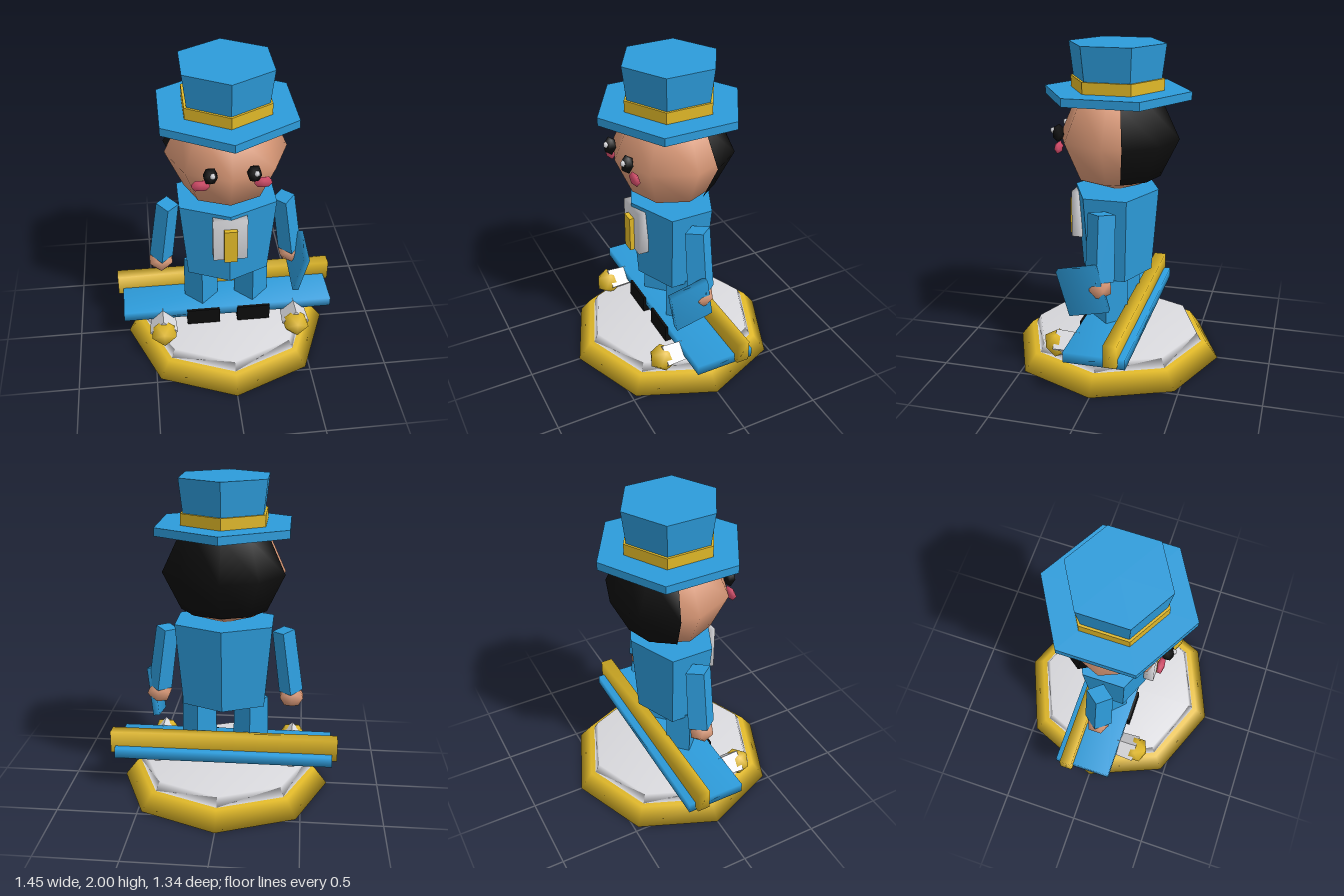
import * as THREE from 'three';
import { mergeVertices } from 'three/addons/utils/BufferGeometryUtils.js';

const mat = (name, color, extra = {}) => {
  const m = new THREE.MeshStandardMaterial({ color, ...extra });
  m.name = name;
  return m;
};

// Weld corners and share normals for soft shading
function soft(geo) {
  geo.deleteAttribute('uv');
  geo.deleteAttribute('normal');
  const g = mergeVertices(geo, 1e-4);
  g.computeVertexNormals();
  return g;
}

// Split faces for hard shading
function hard(geo) {
  const g = geo.toNonIndexed();
  g.computeVertexNormals();
  return g;
}

const box = (w, h, d) => new THREE.BoxGeometry(w, h, d);
const prism = (rTop, rBottom, h, sides) => new THREE.CylinderGeometry(rTop, rBottom, h, sides);

export function createModel() {
  const model = new THREE.Group();
  model.name = 'hoverboardFigure';

  const blue = mat('blue', 0x2d9cdb);
  const gold = mat('gold', 0xe0b828);
  const white = mat('paleGrey', 0xdadade);
  const skin = mat('skin', 0xdc9a78);
  const black = mat('black', 0x0c0c0c, { side: THREE.DoubleSide });
  const pink = mat('pink', 0xd24a68);

  function add(name, geo, material, x, y, z, parent = model) {
    const mesh = new THREE.Mesh(geo, material);
    mesh.name = name;
    mesh.position.set(x, y, z);
    parent.add(mesh);
    return mesh;
  }

  // Stand
  add('standBase', soft(prism(0.59, 0.67, 0.105, 8)), gold, 0, 0.0525, 0);
  add('standTop', soft(prism(0.53, 0.56, 0.055, 8)), white, 0, 0.1325, 0);

  // Board and rear rail
  add('board', soft(box(1.38, 0.065, 0.375)), blue, 0, 0.2625, -0.035);
  add('rearRail', soft(box(1.445, 0.14, 0.08)), gold, 0, 0.32, -0.14);

  // Coat, shirt and tie
  const coat = add('coat', hard(prism(0.265, 0.225, 0.53, 6)), blue, 0, 0.845, 0);
  coat.scale.x = 1.305;
  add('shirt', soft(box(0.21, 0.295, 0.065)), white, 0, 0.9375, 0.234);
  add('tie', box(0.08, 0.23, 0.05), gold, 0, 0.905, 0.27);

  // Head
  const head = add('head', soft(new THREE.SphereGeometry(1, 8, 4)), skin, 0, 1.43, 0);
  head.scale.set(0.37, 0.34, 0.36);

  // Hair wraps the back of the head: phi is measured so that 3/2 PI faces -z
  const side = THREE.MathUtils.degToRad(18);
  const hairGeo = new THREE.SphereGeometry(1, 4, 2, Math.PI + side, Math.PI - 2 * side, Math.PI / 4, Math.PI / 2);
  const hair = add('hair', hairGeo, black, 0, 1.435, 0);
  hair.scale.set(0.39, 0.335, 0.388);

  // Hat
  add('hatBrim', hard(prism(0.455, 0.455, 0.05, 6)), blue, 0, 1.7, 0);
  add('hatBand', hard(prism(0.29, 0.29, 0.07, 6)), gold, 0, 1.76, 0);
  add('hatCrown', hard(prism(0.3, 0.265, 0.275, 6)), blue, 0, 1.8625, 0);

  // Faceted bead with given half sizes
  function bead(name, material, hx, hy, hz, x, y, z) {
    const mesh = add(name, soft(new THREE.IcosahedronGeometry(1 / 0.8507, 0)), material, x, y, z);
    mesh.scale.set(hx, hy, hz);
    return mesh;
  }

  // Paired parts
  for (const s of [1, -1]) {
    const label = s > 0 ? 'left' : 'right';

    // Leg and shoe
    add(label + 'Leg', hard(prism(0.11, 0.112, 0.32, 4)), blue, s * 0.167, 0.44, 0);
    add(label + 'Shoe', box(0.215, 0.115, 0.25), black, s * 0.167, 0.2325, 0.045);

    // Arm and hand
    const arm = add(label + 'Arm', hard(prism(0.07, 0.075, 0.405, 4)), blue, s * 0.393, 0.85, 0);
    arm.scale.z = 1.2;
    arm.rotation.z = s * 0.137;
    bead(label + 'Hand', skin, 0.073, 0.068, 0.07, s * 0.425, 0.613, 0);

    // Thruster pod and nose
    const pod = add(label + 'Pod', hard(prism(0.09, 0.07, 0.37, 4)), white, s * 0.435, 0.213, 0.085);
    pod.rotation.x = Math.PI / 2;
    bead(label + 'PodNose', gold, 0.078, 0.072, 0.077, s * 0.435, 0.21, 0.268);

    // Eye, glint and cheek
    bead(label + 'Eye', black, 0.04, 0.05, 0.034, s * 0.125, 1.46, 0.335);
    bead(label + 'EyeGlint', white, 0.016, 0.018, 0.015, s * 0.125 + 0.01, 1.477, 0.365);
    bead(label + 'Cheek', pink, 0.052, 0.034, 0.021, s * 0.18, 1.385, 0.315);
  }

  // Panel held beside the left hand
  const panel = add('handPanel', soft(box(0.04, 0.31, 0.25)), blue, 0.463, 0.592, 0.09);
  panel.rotation.set(0.21, 0, -0.15);

  return model;
}
